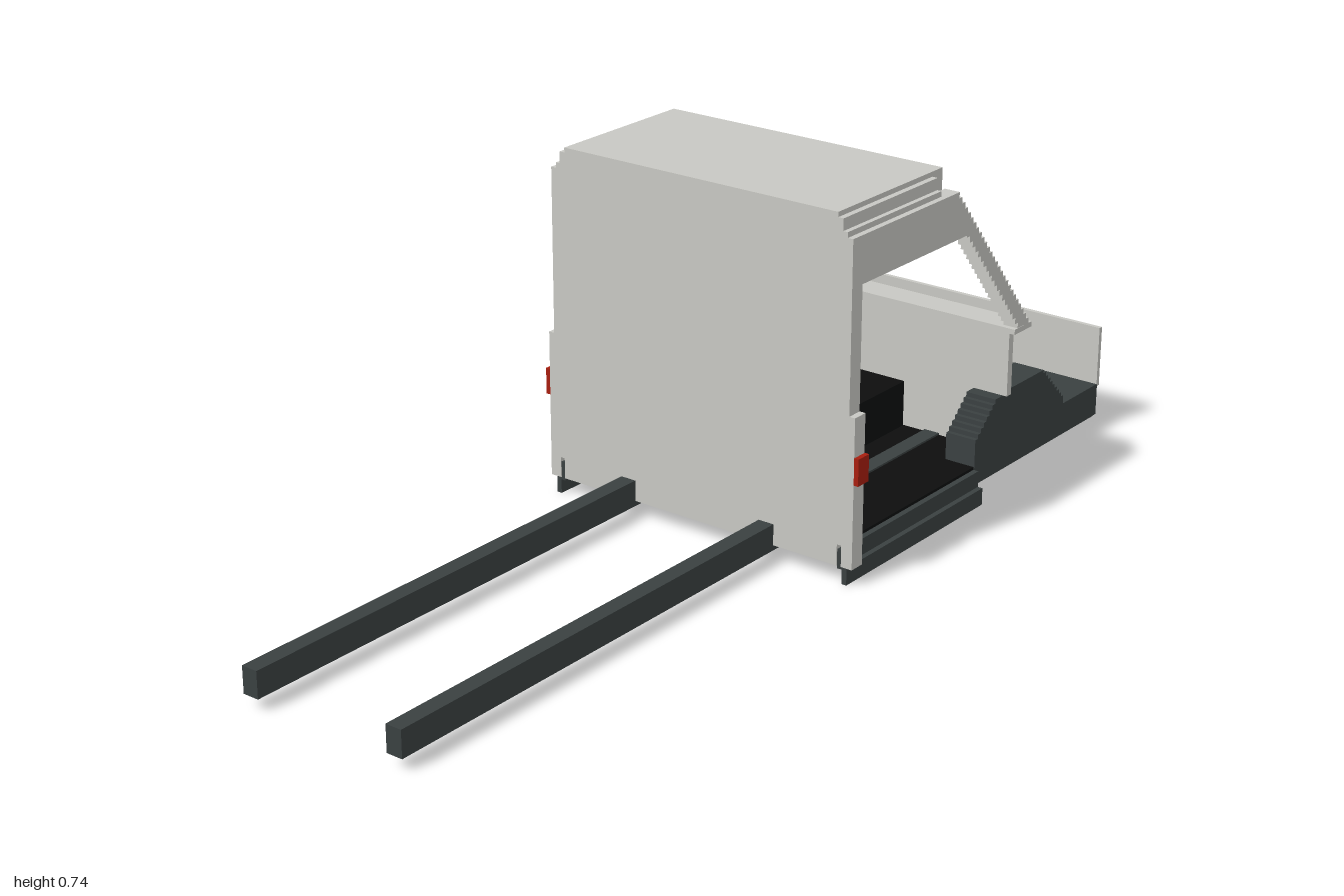
import * as THREE from 'three';

const mat = (name, color) => {
  const m = new THREE.MeshStandardMaterial({ color });
  m.name = name;
  return m;
};

export function createModel() {
  const group = new THREE.Group();
  const body = mat('bodyGrey', 0xc8c8c3);
  const dark = mat('chassisGrey', 0x3a4041);
  const black = mat('interiorBlack', 0x0d0e0e);
  const red = mat('lampRed', 0xa81e0f);
  const lining = mat('roofLining', 0x6b664e);

  // Box from its minimum and maximum on each axis
  const box = (name, m, x0, x1, y0, y1, z0, z1) => {
    const mesh = new THREE.Mesh(new THREE.BoxGeometry(x1 - x0, y1 - y0, z1 - z0), m);
    mesh.position.set((x0 + x1) / 2, (y0 + y1) / 2, (z0 + z1) / 2);
    mesh.name = name;
    group.add(mesh);
  };
  // The same box on both sides of the cab
  const pair = (name, m, x0, x1, y0, y1, z0, z1) => {
    box(name + 'Left', m, x0, x1, y0, y1, z0, z1);
    box(name + 'Right', m, x0, x1, y0, y1, -z1, -z0);
  };
  // Outline in x, y extruded between z0 and z1, on both sides
  const plates = (name, m, points, z0, z1) => {
    const shape = new THREE.Shape(points.map(([x, y]) => new THREE.Vector2(x, y)));
    const geo = new THREE.ExtrudeGeometry(shape, { depth: z1 - z0, bevelEnabled: false });
    for (const [side, z] of [['Left', z0], ['Right', -z1]]) {
      const mesh = new THREE.Mesh(geo, m);
      mesh.position.z = z;
      mesh.name = name + side;
      group.add(mesh);
    }
  };
  // Adds a staircase from the last point of a list to (x, y)
  const stairs = (list, x, y, n, levelFirst) => {
    const [sx, sy] = list[list.length - 1];
    for (let i = 1; i <= n; i++) {
      const nx = sx + (x - sx) * i / n, ny = sy + (y - sy) * i / n;
      const [px, py] = list[list.length - 1];
      list.push(levelFirst ? [nx, py] : [px, ny], [nx, ny]);
    }
    return list;
  };

  // Chassis
  pair('frameRail', dark, -1, 0.96, 0.025, 0.08, 0.152, 0.187);
  box('floorPan', dark, 0.035, 0.98, 0.035, 0.07, -0.335, 0.335);
  box('frontBumper', dark, 0.85, 0.985, 0.036, 0.105, -0.335, 0.335);
  pair('doorSill', dark, 0.035, 0.51, 0.03, 0.07, 0.335, 0.346);
  pair('sideSkirt', dark, 0.035, 0.51, 0, 0.036, 0.346, 0.357);

  // Wheel arches with stepped slopes
  const arch = [[0.85, 0.036], [0.85, 0.115]];
  stairs(arch, 0.765, 0.2, 9, false);
  arch.push([0.765, 0.207], [0.625, 0.207], [0.625, 0.2], [0.59, 0.2]);
  stairs(arch, 0.51, 0.125, 8, true);
  arch.push([0.51, 0.036]);
  plates('wheelArch', dark, arch, 0.267, 0.336);

  // Interior
  box('cabFloorMat', black, 0.065, 0.66, 0.07, 0.076, -0.334, 0.334);
  box('engineCover', black, 0.066, 0.605, 0.076, 0.175, -0.1, 0.1);

  // Rear wall and pillars
  box('rearWall', body, 0.033, 0.066, 0.036, 0.69, -0.335, 0.335);
  pair('rearPillarUpper', body, 0.033, 0.066, 0.08, 0.69, 0.335, 0.357);
  pair('rearPillarLower', body, 0.033, 0.0665, 0.036, 0.345, 0.345, 0.37);
  pair('sideLamp', red, 0.033, 0.067, 0.21, 0.265, 0.37, 0.38);

  // Roof
  box('roof', body, 0.033, 0.375, 0.69, 0.735, -0.323, 0.323);
  pair('roofEdge', body, 0.033, 0.34, 0.69, 0.725, 0.323, 0.335);
  pair('roofGutter', body, 0.033, 0.34, 0.69, 0.701, 0.335, 0.345);
  box('headliner', lining, 0.066, 0.373, 0.685, 0.69, -0.323, 0.323);
  plates('doorHeader', body, [[0.066, 0.595], [0.43, 0.595], [0.38, 0.655], [0.38, 0.69], [0.066, 0.69]], 0.323, 0.357);

  // Stepped windscreen pillars
  const pillar = stairs([[0.375, 0.69]], 0.66, 0.345, 27, true);
  pillar.push([0.63, 0.345]);
  stairs(pillar, 0.375, 0.655, 24, true);
  plates('windscreenPillar', body, pillar, 0.323, 0.3565);

  // Cab front
  box('windscreenSill', body, 0.608, 0.672, 0.335, 0.346, -0.357, 0.357);
  box('frontPanel', body, 0.608, 0.624, 0.2, 0.335, -0.345, 0.345);
  box('frontPanelLower', body, 0.608, 0.624, 0.076, 0.2, -0.267, 0.267);
  box('grillePlate', body, 0.99, 1, 0.1, 0.232, -0.335, 0.335);
  box('grilleMount', dark, 0.98, 0.992, 0.036, 0.105, -0.335, 0.335);

  return group;
}
